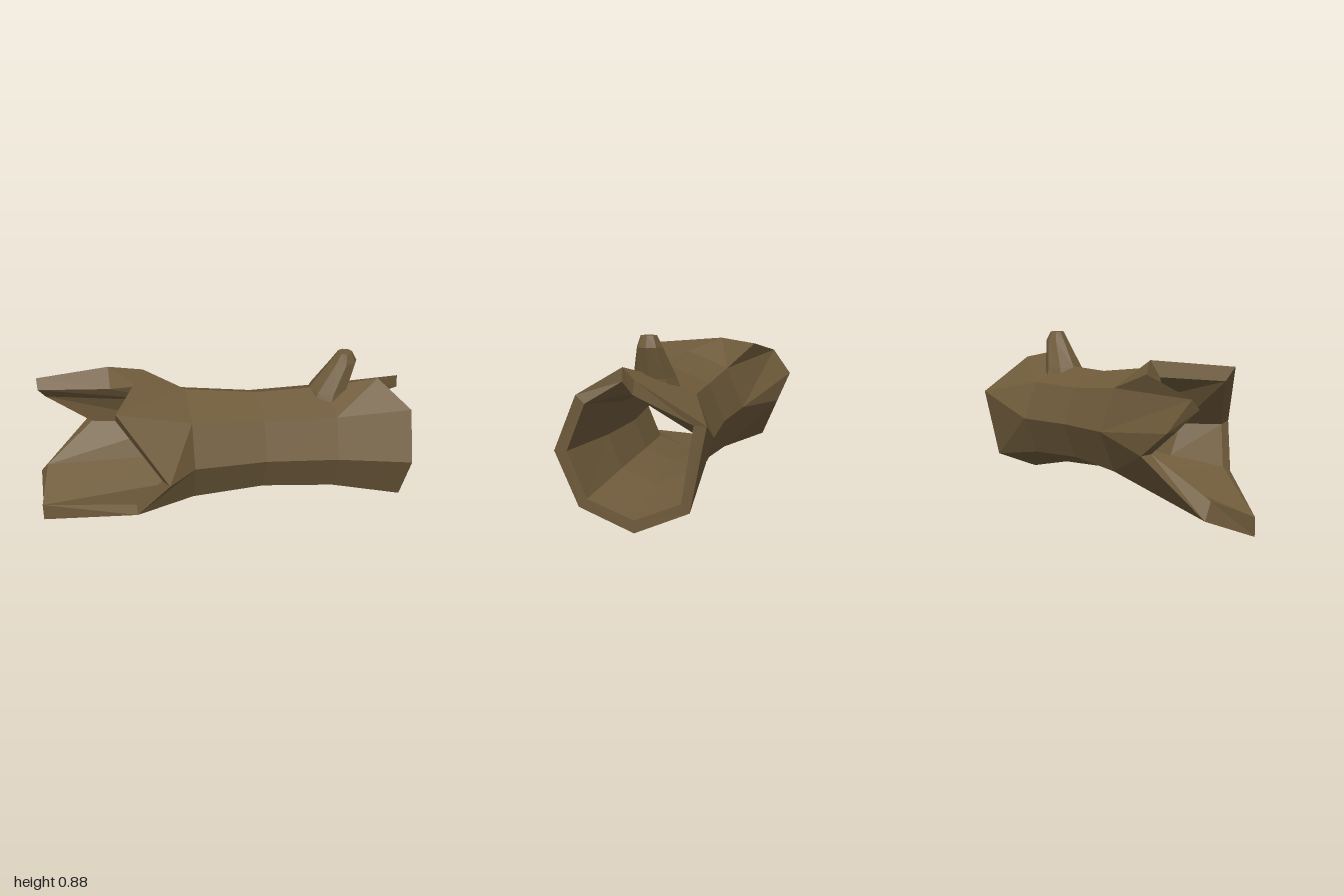
import * as THREE from 'three';

const bark = new THREE.MeshStandardMaterial({ color: 0x6f5b3b, flatShading: true });

// Joins closed rings of equal point count, skipping collapsed triangles
function loft(rings, name) {
  const pos = [];
  const tri = (a, b, c) => {
    const [A, B, C] = [a, b, c].map((p) => new THREE.Vector3(...p));
    if (B.sub(A).cross(C.sub(A)).length() > 1e-7) pos.push(...a, ...b, ...c);
  };
  for (let r = 0; r < rings.length - 1; r++) {
    const n = rings[r].length;
    for (let i = 0; i < n; i++) {
      const j = (i + 1) % n;
      tri(rings[r][i], rings[r + 1][i], rings[r + 1][j]);
      tri(rings[r][i], rings[r + 1][j], rings[r][j]);
    }
  }
  const geo = new THREE.BufferGeometry();
  geo.setAttribute('position', new THREE.Float32BufferAttribute(pos, 3));
  geo.computeVertexNormals();
  const mesh = new THREE.Mesh(geo, bark);
  mesh.name = name;
  return mesh;
}

// Columns run top, front, bottom, back; two repeats leave room for the splinter
const columns = [0, 1, 2, 3, 4, 5, 6, 6, 7, 7];
const trunkRing = (x, y, r) => columns.map((c) => {
  const t = (c * Math.PI) / 4;
  return [x, y + r * Math.cos(t), 0.02 + r * Math.sin(t)];
});
const spread = (points) => columns.map((c) => points[c]);

// Octagonal ring of the branch stub
const stubRing = (x, y, z, rx, rz, tilt = 0) => Array.from({ length: 8 }, (_, i) => {
  const t = (i * Math.PI) / 4;
  return [x - rx * Math.sin(t), y - tilt * Math.sin(t), z + rz * Math.cos(t)];
});

export function createModel() {
  const group = new THREE.Group();
  group.name = 'hollowLog';

  // Right end rim, with a notch at the top
  const rightOuter = spread([
    [0.85, 0.755, 0.1], [0.985, 0.64, 0.28], [0.975, 0.38, 0.39], [0.965, 0.12, 0.28],
    [0.96, 0.01, 0.02], [0.965, 0.12, -0.24], [0.985, 0.52, -0.32], [1, 0.715, 0],
  ]);
  const rightInner = spread([
    [0.86, 0.69, 0.1], [0.98, 0.6, 0.24], [0.975, 0.38, 0.33], [0.965, 0.16, 0.24],
    [0.96, 0.07, 0.02], [0.965, 0.16, -0.2], [0.98, 0.52, -0.26], [1, 0.65, 0.01],
  ]);

  // Left end rim, broken into splinters
  const leftOuter = [
    [-0.4, 0.805, -0.13], [-0.58, 0.76, 0.29], [-0.34, 0.43, 0.48], [-0.5, 0.19, 0.345],
    [-1, 0.005, 0.02], [-1, 0.135, -0.3], [-0.7, 0.4, -0.43],
    [-0.94, 0.545, -0.48], [-0.98, 0.69, -0.37], [-0.58, 0.76, -0.3],
  ];
  const leftInner = [
    [-0.44, 0.72, -0.1], [-0.58, 0.69, 0.22], [-0.37, 0.42, 0.4], [-0.5, 0.22, 0.29],
    [-1, 0.1, 0.02], [-0.96, 0.21, -0.23], [-0.69, 0.4, -0.36],
    [-0.94, 0.55, -0.42], [-0.975, 0.64, -0.32], [-0.58, 0.67, -0.2],
  ];

  // Bark from right to left, then back through the hollow
  group.add(loft([
    rightOuter,
    trunkRing(0.59, 0.395, 0.297), trunkRing(0.2, 0.412, 0.278), trunkRing(-0.19, 0.427, 0.313),
    leftOuter, leftInner,
    trunkRing(-0.19, 0.415, 0.24), trunkRing(0.2, 0.4, 0.212), trunkRing(0.59, 0.39, 0.235),
    rightInner, rightOuter,
  ], 'hollowTrunk'));

  // Short leaning branch stub
  group.add(loft([
    stubRing(0.585, 0.63, 0.012, 0.12, 0.125),
    stubRing(0.6, 0.685, 0.012, 0.11, 0.108),
    stubRing(0.675, 0.835, 0.017, 0.075, 0.063),
    stubRing(0.68, 0.89, 0.02, 0.04, 0.04),
    stubRing(0.68, 0.89, 0.02, 0, 0),
  ], 'branchStub'));

  return group;
}
